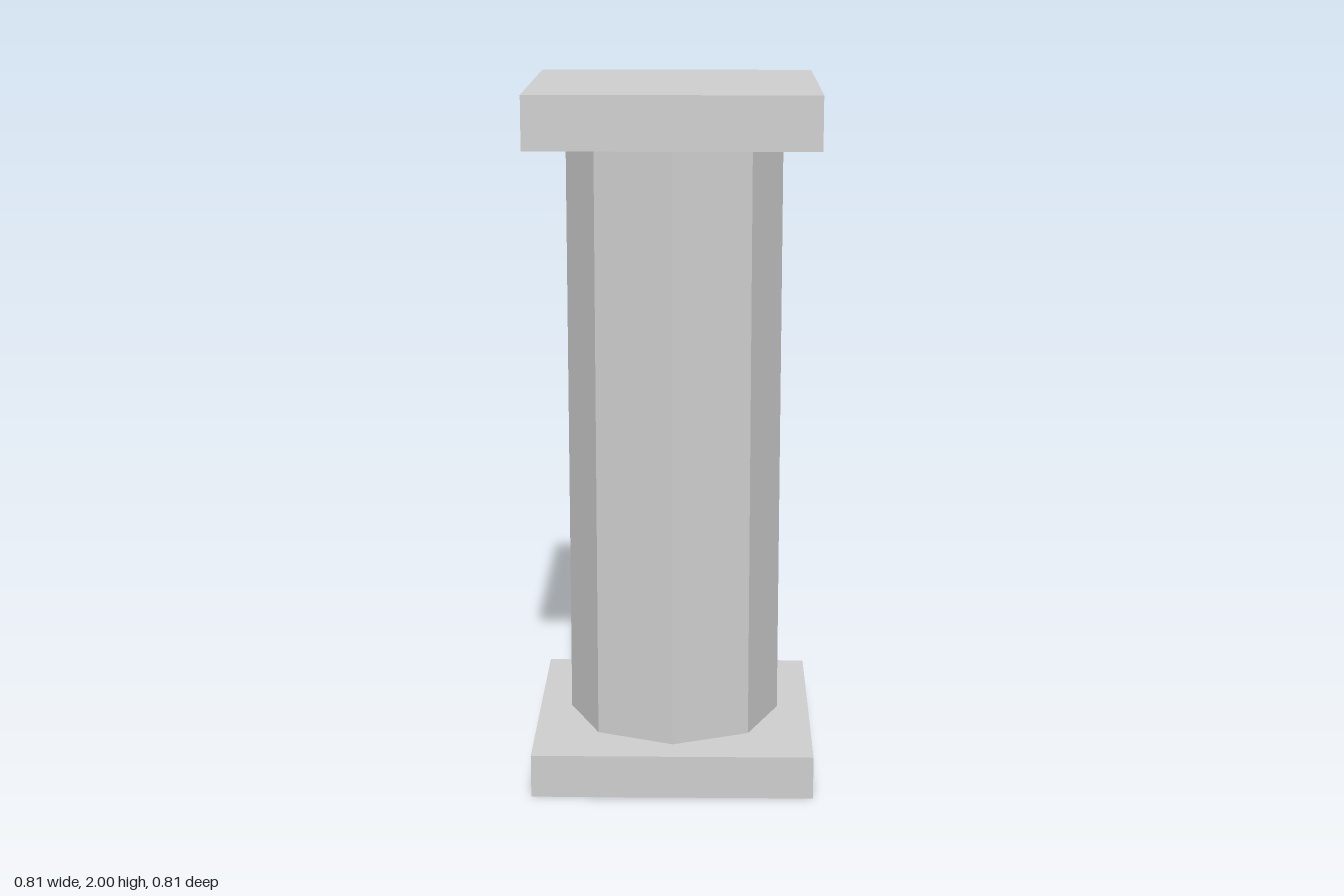
import * as THREE from 'three';

export function createModel() {
  const model = new THREE.Group();
  model.name = 'pillar';

  const stone = new THREE.MeshStandardMaterial({ color: 0xcccccc });
  stone.name = 'light grey stone';
  // Flat facets come from the geometry's own normals
  const add = (name, geometry, bottom, top) => {
    const mesh = new THREE.Mesh(geometry, stone);
    mesh.name = name;
    mesh.position.y = (bottom + top) / 2;
    model.add(mesh);
  };

  const width = 0.807;
  const baseTop = 0.125, capBottom = 1.85, height = 2;

  // Square slabs at foot and head
  add('base', new THREE.BoxGeometry(width, baseTop, width), 0, baseTop);
  add('capital', new THREE.BoxGeometry(width, height - capBottom, width), capBottom, height);

  // Eight-sided shaft with corners on the axes
  const shaft = new THREE.CylinderGeometry(0.31, 0.31, capBottom - baseTop, 8, 1, true).toNonIndexed();
  shaft.computeVertexNormals();
  add('shaft', shaft, baseTop, capBottom);

  return model;
}
